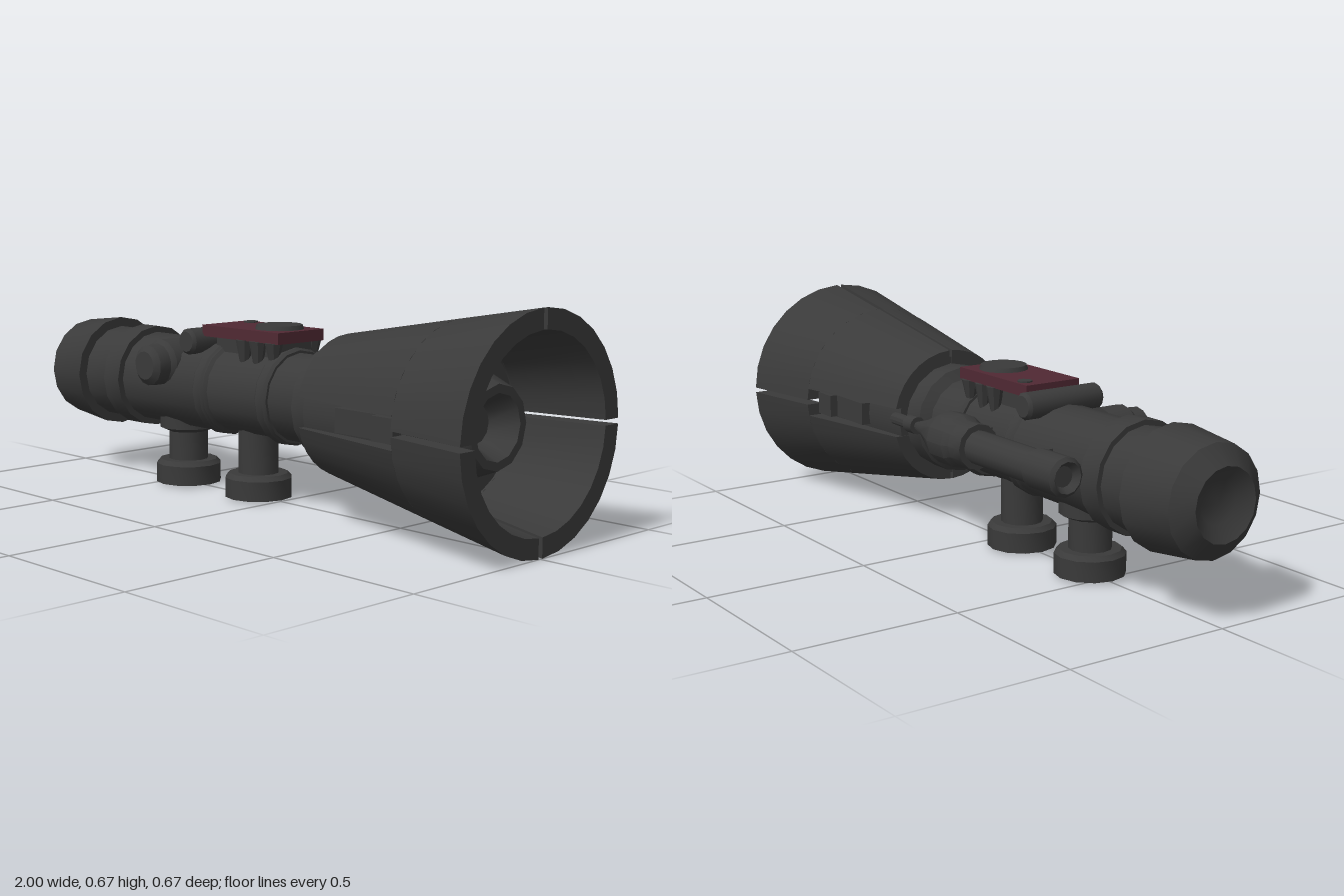
import * as THREE from 'three';
import { toCreasedNormals } from 'three/addons/utils/BufferGeometryUtils.js';

const AXIS = 0.335; // height of the scope's long axis

export function createModel() {
  const root = new THREE.Group();
  root.name = 'scope';
  const grey = new THREE.MeshStandardMaterial({ color: 0x3a3a3a });
  grey.name = 'dark grey metal';
  const red = new THREE.MeshStandardMaterial({ color: 0x502933 });
  red.name = 'dark red plate';

  const add = (name, geo, pos = [0, 0, 0], mat = grey) => {
    const mesh = new THREE.Mesh(toCreasedNormals(geo, 0.6), mat);
    mesh.name = name;
    mesh.position.set(...pos);
    root.add(mesh);
    return mesh;
  };
  // Turned part: pairs of [position along the axis, radius]
  const turned = (profile, sides) =>
    new THREE.LatheGeometry(profile.map(([h, r]) => new THREE.Vector2(r, h)), sides);
  const turnedX = (profile, sides) => turned(profile, sides).rotateZ(-Math.PI / 2);
  const turnedZ = (profile, sides) => turned(profile, sides).rotateX(Math.PI / 2);

  // Main tube with dished eyepiece, rings and front collar
  add('mainTube', turnedX([
    [-0.97, 0], [-0.97, 0.06], [-1, 0.105], [-0.957, 0.16], [-0.785, 0.18], [-0.785, 0.15],
    [-0.67, 0.15], [-0.67, 0.165], [-0.595, 0.165], [-0.595, 0.145], [-0.2, 0.145],
    [-0.19, 0.135], [0.2, 0.135], [0.22, 0.168], [0.295, 0.168], [0.295, 0],
  ], 16), [0, AXIS, 0]);
  for (const x of [-0.225, 0.06]) {
    add('clampRing', turnedX([
      [-0.025, 0.12], [-0.025, 0.143], [-0.015, 0.15], [0.015, 0.15], [0.025, 0.143], [0.025, 0.12],
    ], 16), [x, AXIS, 0]);
  }

  // Bell core and front lens barrel
  add('bellCore', turnedX([[0.292, 0], [0.292, 0.19], [0.72, 0.225], [0.72, 0]], 28), [0, AXIS, 0]);
  add('lensBarrel', turnedX([
    [0.715, 0.15], [0.77, 0.15], [0.85, 0.12], [0.85, 0.095], [0.77, 0.057], [0.77, 0],
  ], 12), [0, AXIS, 0]);

  // Quarter shells of the bell, split along straight gaps
  const rear = { x: 0.29, outer: 0.21, inner: 0.165 };
  const middle = { x: 0.72, outer: 0.286, inner: 0.231 };
  const mouth = { x: 1, outer: 0.335, inner: 0.277 };
  for (let i = 0; i < 4; i++) {
    const sideFirst = i % 2 === 0;
    const turn = i * Math.PI / 2;
    const back = quarterShell(rear, middle, sideFirst ? 0.045 : 0.005, sideFirst ? 0.005 : 0.045);
    const front = quarterShell(middle, mouth, 0.008, 0.008);
    add('bellRearPanel', back.rotateX(turn), [0, AXIS, 0]);
    add('bellFrontPanel', front.rotateX(turn), [0, AXIS, 0]);
  }

  // Latches in the side slots
  for (const s of [-1, 1]) {
    add('slotLatch', new THREE.BoxGeometry(0.08, 0.07, 0.04), [0.66, AXIS, s * 0.235]);
    add('slotBar', new THREE.BoxGeometry(0.16, 0.07, 0.03), [0.54, AXIS, s * 0.215]);
  }

  // Top plate with button and screw
  add('topPlate', new THREE.BoxGeometry(0.345, 0.035, 0.19), [-0.088, 0.518, -0.005], red);
  add('plateBase', new THREE.BoxGeometry(0.29, 0.06, 0.13), [-0.08, 0.475, -0.005]);
  add('topButton', new THREE.CylinderGeometry(0.07, 0.076, 0.016, 16), [-0.01, 0.541, -0.005]);
  add('topScrew', new THREE.CylinderGeometry(0.022, 0.022, 0.006, 10), [-0.21, 0.537, -0.07]);

  // Tapered claws under both edges of the plate
  for (const s of [-1, 1]) {
    for (const [x, len] of [[-0.08, 0.075], [-0.02, 0.075], [0.05, 0.06]]) {
      add('plateClaw', new THREE.CylinderGeometry(0.028, 0.014, len, 8),
        [x, 0.502 - len / 2, -0.005 + s * 0.08]);
    }
  }

  // Cross roller behind the plate
  add('crossRoller', turnedZ([
    [-0.135, 0], [-0.135, 0.032], [-0.125, 0.041], [0.125, 0.041], [0.135, 0.032], [0.135, 0],
  ], 12), [-0.287, 0.483, 0]);

  // Side adjustment knob
  add('sideKnob', turnedZ([
    [0.05, 0], [0.05, 0.078], [0.13, 0.078], [0.145, 0.066], [0.185, 0.064], [0.2, 0.045], [0.2, 0],
  ], 14), [-0.413, 0.402, 0]);

  // Mounting feet with hollow undersides
  for (const x of [-0.437, -0.1]) {
    add('mountFoot', turned([
      [0.04, 0], [0.04, 0.075], [0.005, 0.085], [0.005, 0.106], [0.066, 0.106], [0.08, 0.093],
      [0.08, 0.064], [0.24, 0.064],
    ], 12), [x, 0, 0]);
  }
  add('mountCollar', turned([
    [0.17, 0.06], [0.185, 0.093], [0.24, 0.093], [0.24, 0],
  ], 12), [-0.437, 0, 0]);

  // Slim pointer tube on the back side, with brackets
  add('pointerTube', turnedX([
    [-0.605, 0], [-0.605, 0.03], [-0.625, 0.045], [-0.615, 0.057], [-0.49, 0.057], [-0.49, 0.05],
    [-0.2, 0.05], [-0.2, 0.068], [-0.14, 0.068], [-0.12, 0.08], [-0.045, 0.08], [0.07, 0.03],
    [0.13, 0.013], [0.13, 0.027], [0.175, 0.027], [0.175, 0.019], [0.26, 0.019], [0.26, 0],
  ], 12), [0, 0.36, -0.226]);
  for (const x of [-0.4, -0.09]) {
    add('pointerBracket', new THREE.BoxGeometry(0.07, 0.06, 0.1), [x, 0.36, -0.15]);
  }
  return root;
}

// Quarter of a thick cone between two stations; gaps are half widths at its two ends
function quarterShell(a, b, gapStart, gapEnd) {
  const SEG = 7;
  const out = [];
  const point = (x, r, t) => {
    const from = Math.asin(gapStart / r);
    const to = Math.PI / 2 - Math.asin(gapEnd / r);
    const angle = from + (to - from) * t;
    return [x, r * Math.sin(angle), r * Math.cos(angle)];
  };
  const section = (t) => [
    point(a.x, a.outer, t), point(b.x, b.outer, t), point(b.x, b.inner, t), point(a.x, a.inner, t),
  ];
  const quad = (p, q, r, s) => out.push(...p, ...q, ...r, ...p, ...r, ...s);
  for (let i = 0; i < SEG; i++) {
    const p = section(i / SEG);
    const q = section((i + 1) / SEG);
    for (let k = 0; k < 4; k++) {
      const n = (k + 1) % 4;
      quad(p[k], p[n], q[n], q[k]);
    }
  }
  const first = section(0);
  const last = section(1);
  quad(first[3], first[2], first[1], first[0]);
  quad(last[0], last[1], last[2], last[3]);
  const geo = new THREE.BufferGeometry();
  geo.setAttribute('position', new THREE.Float32BufferAttribute(out, 3));
  geo.computeVertexNormals();
  return geo;
}
